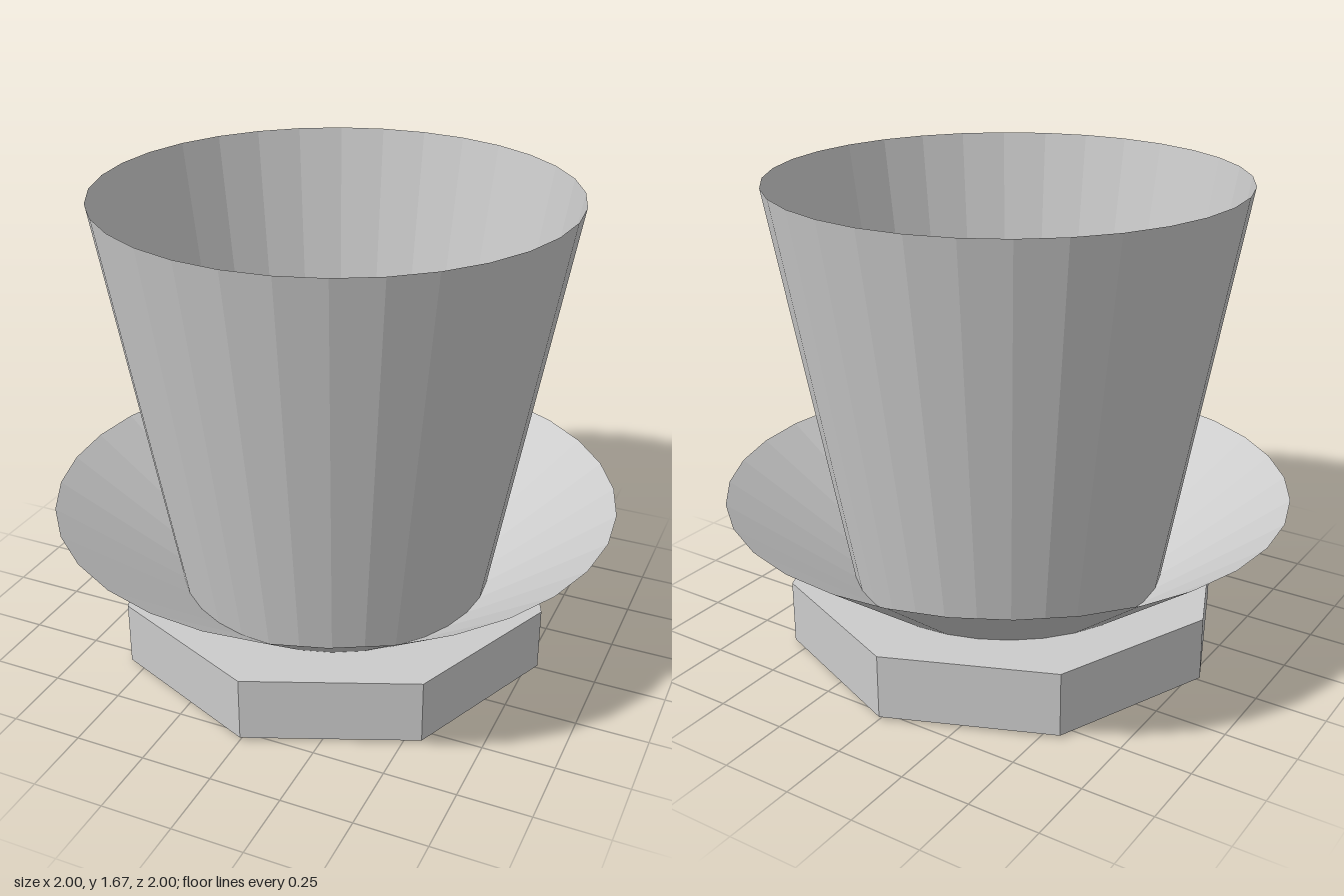
import * as THREE from 'three';

const material = new THREE.MeshStandardMaterial({
  color: 0xcccccc,
  flatShading: true,
  side: THREE.DoubleSide,
});

const FLOOR = 0.24; // height where cup, saucer and base meet

// Thin faceted shell between two heights
function shell(name, rTop, rBottom, y0, y1, sides) {
  const geometry = new THREE.CylinderGeometry(rTop, rBottom, y1 - y0, sides, 1, true);
  geometry.translate(0, (y0 + y1) / 2, 0);
  const mesh = new THREE.Mesh(geometry, material);
  mesh.name = name;
  return mesh;
}

// Flat horizontal plate with a corner on the front axis
function plate(name, radius, y, sides) {
  const geometry = new THREE.CircleGeometry(radius, sides, Math.PI / 2);
  geometry.rotateX(-Math.PI / 2).translate(0, y, 0);
  const mesh = new THREE.Mesh(geometry, material);
  mesh.name = name;
  return mesh;
}

export function createModel() {
  const model = new THREE.Group();
  model.name = 'cupOnBase';

  model.add(
    // Open tapered cup and flared saucer
    shell('cupWall', 0.815, 0.562, FLOOR, 1.67, 32),
    shell('saucer', 1, 0.562, FLOOR, 0.57, 32),
    // Octagonal base, hollow underneath
    shell('baseWall', 0.79, 0.79, 0.01, FLOOR, 8),
    plate('baseTop', 0.79, FLOOR, 8),
    // Round foot tube inside the base
    shell('footTube', 0.495, 0.495, 0, FLOOR, 32),
  );
  return model;
}
